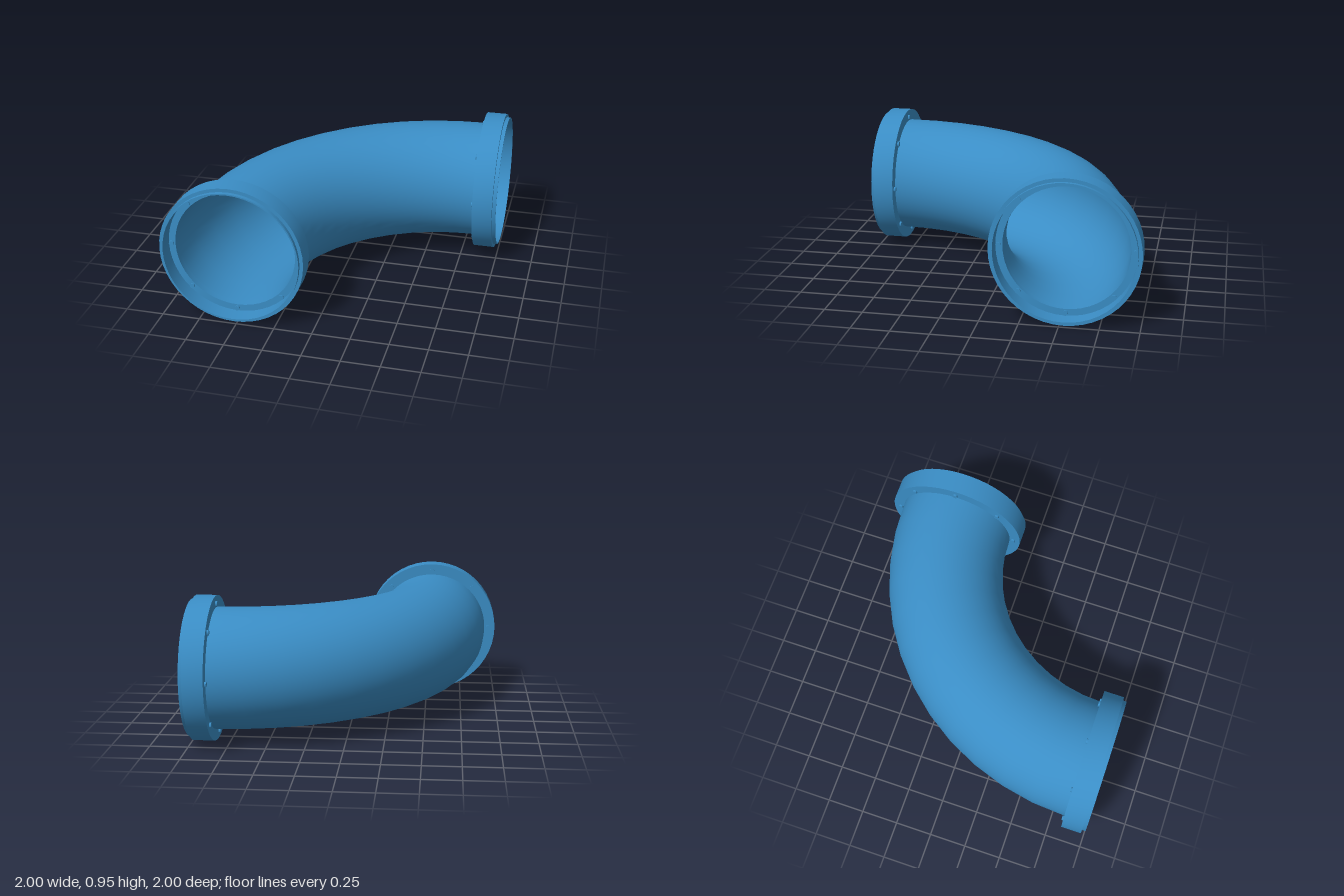
import * as THREE from 'three';
import { toCreasedNormals } from 'three/addons/utils/BufferGeometryUtils.js';

const AXIS = -0.527;   // sideways offset of each pipe end
const HEIGHT = 0.473;  // height of the pipe's centre line
const PIPE_R = 0.397;
const BACK = 0.84;     // where the bend stops and the collar starts
const BEND_R = BACK - AXIS;

export function createModel() {
  const group = new THREE.Group();
  const blue = new THREE.MeshStandardMaterial({ color: 0x3a8dc5 });
  const blueDouble = new THREE.MeshStandardMaterial({ color: 0x3a8dc5, side: THREE.DoubleSide });

  // Thin-walled quarter bend
  const bendGeo = new THREE.TorusGeometry(BEND_R, PIPE_R, 48, 12, Math.PI / 2);
  bendGeo.rotateZ(Math.PI / 2).rotateX(-Math.PI / 2);
  const bend = new THREE.Mesh(bendGeo, blueDouble);
  bend.name = 'pipeBend';
  bend.position.set(BACK, HEIGHT, BACK);
  group.add(bend);

  // Cup-shaped collar: back plate, outer wall, stepped lip, recessed floor
  const profile = [
    [PIPE_R, BACK], [0.473, BACK], [0.473, 0.975], [0.45, 0.975], [0.45, 1],
    [0.441, 1], [0.441, 0.89], [PIPE_R, 0.89], [PIPE_R, BACK],
  ].map(([r, y]) => new THREE.Vector2(r, y));
  const collarGeo = toCreasedNormals(new THREE.LatheGeometry(profile, 48), 0.6);

  // Bolts run through the back plate and stand slightly proud on both sides
  const boltGeo = toCreasedNormals(new THREE.CylinderGeometry(0.017, 0.017, 0.07, 12), 0.6);

  function addCollar(name) {
    const collar = new THREE.Group();
    collar.name = name;
    const ring = new THREE.Mesh(collarGeo, blue);
    ring.name = 'collarRing';
    collar.add(ring);
    for (let i = 0; i < 8; i++) {
      const a = (i * Math.PI) / 4;
      const bolt = new THREE.Mesh(boltGeo, blue);
      bolt.name = 'bolt';
      bolt.position.set(0.423 * Math.cos(a), 0.863, 0.423 * Math.sin(a));
      collar.add(bolt);
    }
    group.add(collar);
    return collar;
  }

  const front = addCollar('frontCollar');
  front.rotation.x = Math.PI / 2;
  front.position.set(AXIS, HEIGHT, 0);

  const left = addCollar('leftCollar');
  left.rotation.z = -Math.PI / 2;
  left.position.set(0, HEIGHT, AXIS);

  return group;
}
